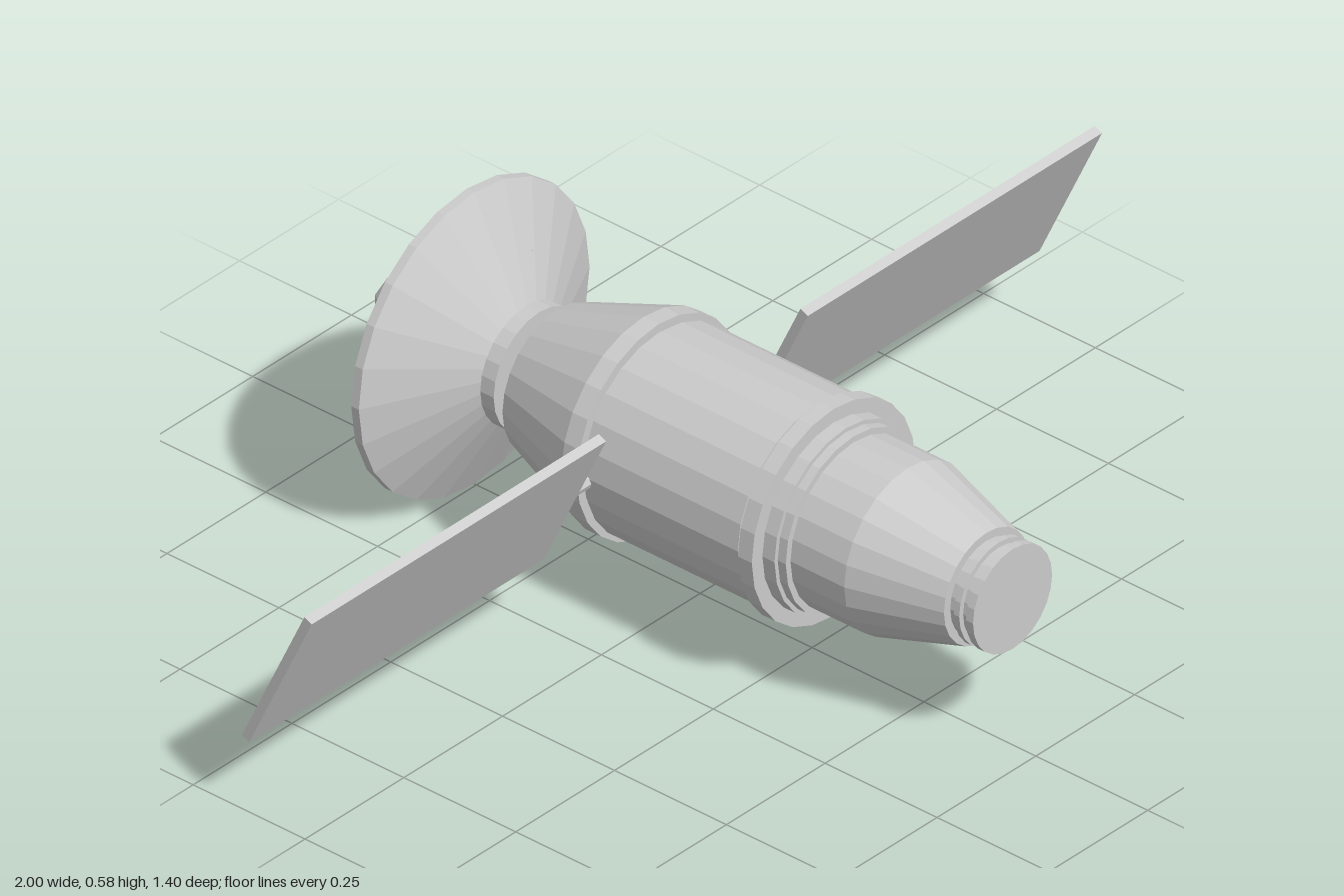
import * as THREE from 'three';

const AXIS_Y = 0.297;
const SIDES = 24;

export function createModel() {
  const model = new THREE.Group();
  const craft = new THREE.Group();
  craft.name = 'spacecraft';
  craft.position.y = AXIS_Y;
  model.add(craft);

  const material = new THREE.MeshStandardMaterial({ color: 0xcccccc, flatShading: true });

  const add = (name, geometry, parent = craft) => {
    const mesh = new THREE.Mesh(geometry, material);
    mesh.name = name;
    parent.add(mesh);
    return mesh;
  };

  // Revolved part along z; profile is [radius, z] from back to front
  const turned = (name, profile, sides = SIDES) => {
    const points = profile.map(([r, z]) => new THREE.Vector2(r, z));
    return add(name, new THREE.LatheGeometry(points, sides).rotateX(Math.PI / 2));
  };

  // Round bar between two points
  const bar = (name, from, to, radius, sides) => {
    const direction = to.clone().sub(from);
    const mesh = add(name, new THREE.CylinderGeometry(radius, radius, direction.length(), sides));
    mesh.position.copy(from).add(to).multiplyScalar(0.5);
    mesh.quaternion.setFromUnitVectors(new THREE.Vector3(0, 1, 0), direction.normalize());
  };

  // Rear cone with its end flange
  turned('rearModule', [
    [0, -0.33], [0.123, -0.33], [0.123, -0.32], [0.138, -0.32],
    [0.207, -0.127], [0.207, -0.093], [0.19, -0.093], [0.19, -0.08],
  ]);

  // Main cylinder
  turned('mainBody', [
    [0, -0.085], [0.196, -0.085], [0.196, 0.257], [0, 0.257],
  ]);

  // Middle flange and stepped rings
  turned('middleFlange', [
    [0.19, 0.25], [0.19, 0.267], [0.207, 0.267], [0.207, 0.298], [0.18, 0.298],
    [0.18, 0.325], [0.172, 0.325], [0.172, 0.343], [0.15, 0.343],
  ]);

  // Tapered nose
  turned('nose', [
    [0.16, 0.33], [0.16, 0.463], [0.108, 0.64], [0.092, 0.64],
  ]);

  // Grooved docking ring closed by a flat disc
  turned('dockingRing', [
    [0.092, 0.63], [0.092, 0.655], [0.1, 0.655], [0.1, 0.667], [0.09, 0.667],
    [0.09, 0.682], [0.1, 0.682], [0.1, 0.698], [0, 0.698],
  ]);

  // Hollow dish with its collar and neck
  turned('antennaDish', [
    [0, -0.37], [0.062, -0.37], [0.062, -0.395], [0.08, -0.395], [0.08, -0.412],
    [0.28, -0.522], [0.292, -0.522], [0.292, -0.505], [0.09, -0.405],
    [0.09, -0.39], [0.115, -0.39], [0.115, -0.36], [0.07, -0.36], [0.075, -0.325],
  ]);

  // Six-sided feed behind the dish
  turned('antennaFeed', [
    [0, -0.698], [0.038, -0.698], [0.065, -0.672], [0.065, -0.637], [0, -0.637],
  ], 6);

  // Three struts holding the feed
  for (const [x, y] of [[0.064, 0.118], [-0.123, -0.035], [0.1, -0.091]]) {
    bar('feedStrut',
      new THREE.Vector3(x * 1.35, y * 1.35, -0.45),
      new THREE.Vector3(x * 0.42, y * 0.42, -0.645), 0.003, 6);
  }

  // Mirrored solar wings, tilted about x
  for (const side of [-1, 1]) {
    bar('wingBoom',
      new THREE.Vector3(side * 0.17, -0.008, -0.085),
      new THREE.Vector3(side * 0.272, -0.008, -0.085), 0.014, 8);
    const panel = add('solarPanel', new THREE.BoxGeometry(0.745, 0.328, 0.018));
    panel.position.set(side * 0.6275, 0, -0.063);
    panel.rotation.x = 0.44;
  }

  return model;
}
